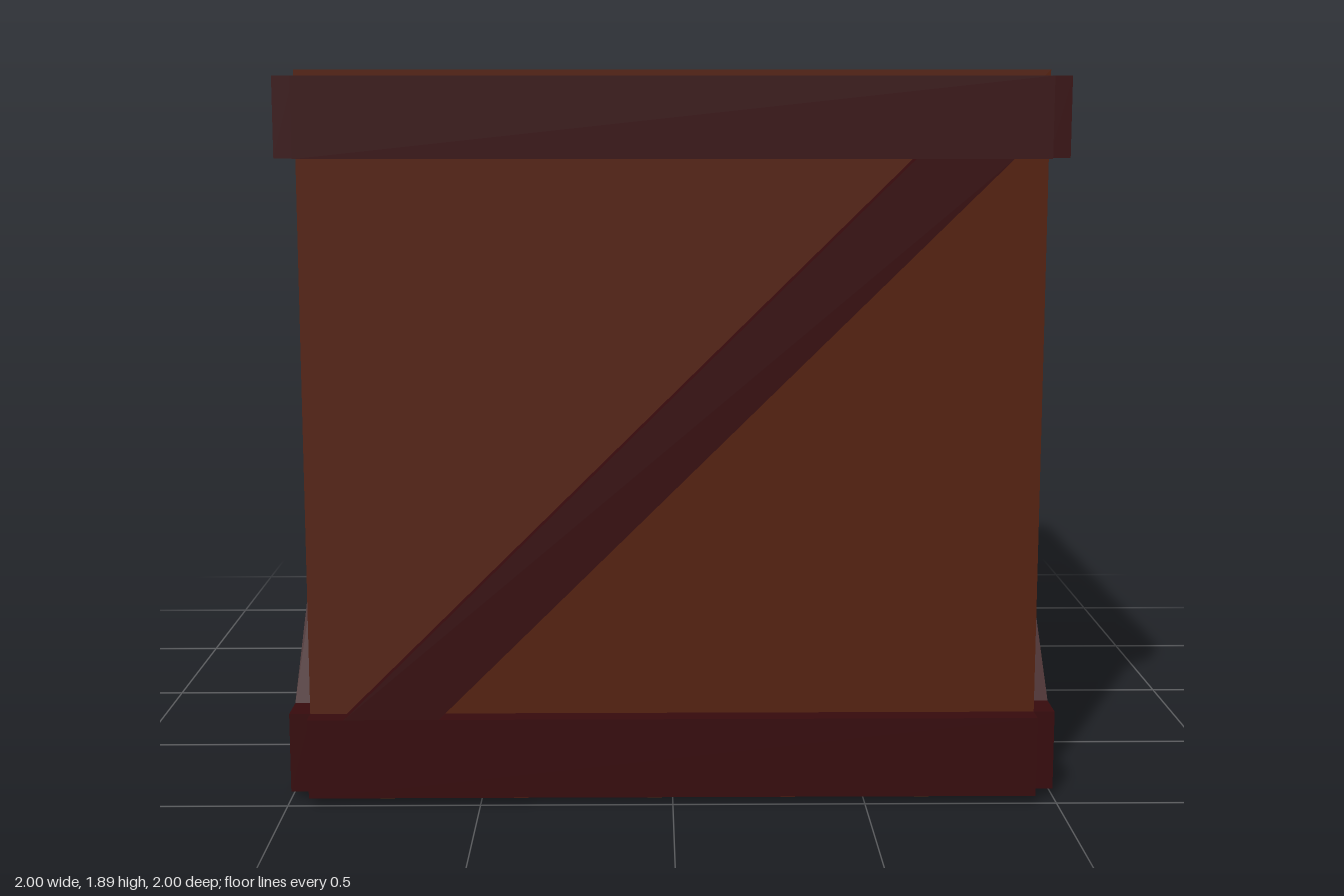
import * as THREE from 'three';

const HALF = 0.945;   // half width of the box
const DEPTH = 0.055;  // how far the planks stand out

export function createModel() {
  const crate = new THREE.Group();
  crate.name = 'crate';
  const wood = new THREE.MeshStandardMaterial({ name: 'brown wood', color: 0x55210e });
  const trim = new THREE.MeshStandardMaterial({ name: 'dark red wood', color: 0x370b0d });

  // Main box
  const box = new THREE.Mesh(new THREE.BoxGeometry(HALF * 2, 1.89, HALF * 2), wood);
  box.name = 'box';
  box.position.y = 0.945;
  crate.add(box);

  // Plank outlines: bottom rail, top rail and the slanted brace between them
  const outlines = {
    bottomRail: [[-HALF, 0.02], [HALF, 0.02], [HALF, 0.23], [-HALF, 0.23]],
    topRail: [[-HALF, 1.67], [HALF, 1.67], [HALF, 1.875], [-HALF, 1.875]],
    diagonalBrace: [[-0.85, 0.23], [-0.605, 0.23], [0.85, 1.67], [0.605, 1.67]],
  };
  const planks = Object.entries(outlines).map(([name, points]) => {
    const shape = new THREE.Shape(points.map(([x, y]) => new THREE.Vector2(x, y)));
    return [name, new THREE.ExtrudeGeometry(shape, { depth: DEPTH, bevelEnabled: false })];
  });

  // Opposite sides carry the same planks, shifted straight across
  const addSide = (sideName, turn, offset) => {
    const side = new THREE.Group();
    side.name = sideName;
    side.rotation.y = turn;
    for (const [name, geometry] of planks) {
      const plank = new THREE.Mesh(geometry, trim);
      plank.name = name;
      plank.position.z = offset;
      side.add(plank);
    }
    crate.add(side);
  };
  addSide('frontPlanks', 0, HALF);
  addSide('backPlanks', 0, -HALF - DEPTH);
  addSide('leftPlanks', Math.PI / 2, HALF);
  addSide('rightPlanks', Math.PI / 2, -HALF - DEPTH);

  return crate;
}
